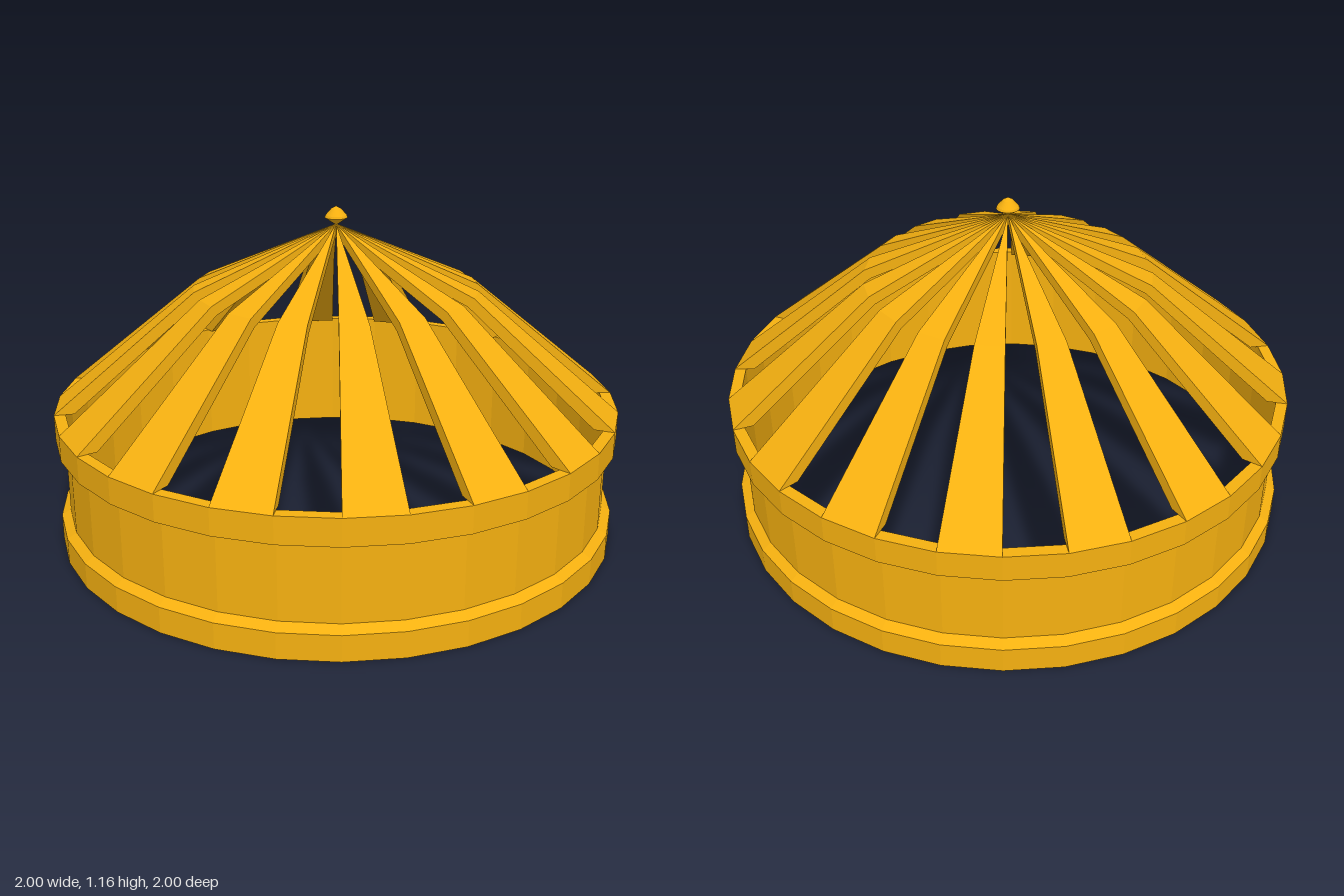
import * as THREE from 'three';

const SIDES = 32;
const STEP = (Math.PI * 2) / SIDES;

const material = new THREE.MeshStandardMaterial({
  color: 0xf5b010, flatShading: true, side: THREE.DoubleSide,
});

function lathe(name, profile) {
  const points = profile.map(([r, y]) => new THREE.Vector2(r, y));
  const mesh = new THREE.Mesh(new THREE.LatheGeometry(points, SIDES), material);
  mesh.name = name;
  return mesh;
}

// One solid roof slat: a closed profile swept across a single facet, with capped sides
function slatGeometry(outer, inner, start, end) {
  const positions = [];
  const at = ([r, y], a) => [r * Math.sin(a), y, r * Math.cos(a)];
  const quad = (a, b, c, d) => positions.push(...a, ...b, ...c, ...a, ...c, ...d);
  const loop = [...outer, ...[...inner].reverse()];
  loop.forEach((p, i) => {
    const q = loop[(i + 1) % loop.length];
    quad(at(p, start), at(p, end), at(q, end), at(q, start));
  });
  for (let i = 0; i < outer.length - 1; i++) {
    const section = [outer[i], outer[i + 1], inner[i + 1], inner[i]];
    quad(...section.map((p) => at(p, start)));
    quad(...section.map((p) => at(p, end)).reverse());
  }
  const geometry = new THREE.BufferGeometry();
  geometry.setAttribute('position', new THREE.Float32BufferAttribute(positions, 3));
  geometry.computeVertexNormals();
  return geometry;
}

export function createModel() {
  const model = new THREE.Group();
  model.name = 'slattedDome';

  // Drum wall with a foot band and a top band
  model.add(lathe('drumWall', [
    [0.96, 0], [1, 0], [1, 0.09], [0.968, 0.11],
    [0.968, 0.365], [1, 0.378], [1, 0.47], [0.96, 0.47], [0.96, 0],
  ]));

  // Every second facet of the roof is a slat
  const roof = new THREE.Group();
  roof.name = 'roofSlats';
  const outer = [[1, 0.47], [0.5, 0.882], [0, 1.1]];
  const inner = [[0.93, 0.47], [0.48, 0.85], [0, 1.065]];
  for (let i = 1; i < SIDES; i += 2) {
    const slat = new THREE.Mesh(slatGeometry(outer, inner, i * STEP, (i + 1) * STEP), material);
    slat.name = 'roofSlat';
    roof.add(slat);
  }
  model.add(roof);

  // Small finial on the peak
  model.add(lathe('finial', [[0, 1.095], [0.04, 1.122], [0.037, 1.13], [0.018, 1.152], [0, 1.162]]));

  return model;
}
